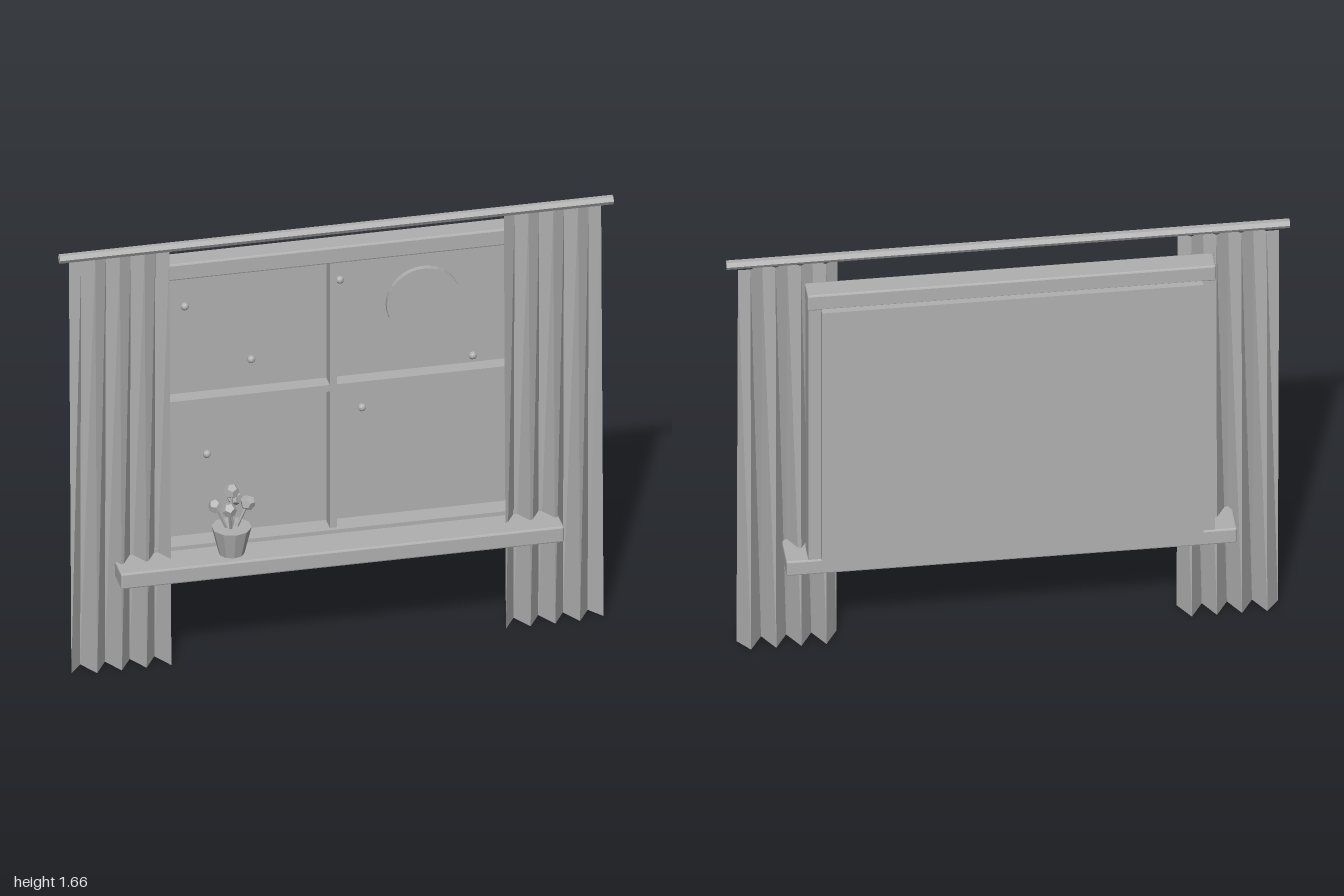
import * as THREE from 'three';
import { RoundedBoxGeometry } from 'three/addons/geometries/RoundedBoxGeometry.js';

export function createModel() {
  const model = new THREE.Group();
  const grey = new THREE.MeshStandardMaterial({ color: 0xb0b0b0, flatShading: true, side: THREE.DoubleSide });
  grey.name = 'grey';

  const add = (name, geometry, parent = model) => {
    const mesh = new THREE.Mesh(geometry, grey);
    mesh.name = name;
    parent.add(mesh);
    return mesh;
  };

  // Box given by its limits, with an optional small bevel
  const box = (name, x0, x1, y0, y1, z0, z1, bevel = 0) => {
    const size = [x1 - x0, y1 - y0, z1 - z0];
    const geometry = bevel ? new RoundedBoxGeometry(...size, 1, bevel) : new THREE.BoxGeometry(...size);
    add(name, geometry).position.set((x0 + x1) / 2, (y0 + y1) / 2, (z0 + z1) / 2);
  };

  // Window frame, bars, sill and night sky panel
  box('frameTop', -0.725, 0.725, 1.5, 1.565, -0.095, -0.01, 0.006);
  box('frameBottom', -0.72, 0.72, 0.375, 0.435, -0.09, -0.012);
  for (const s of [-1, 1]) {
    box('frameSide', s * 0.69 - 0.032, s * 0.69 + 0.032, 0.4, 1.52, -0.09, -0.012);
  }
  box('verticalBar', -0.013, 0.013, 0.43, 1.505, -0.085, -0.028);
  box('horizontalBar', -0.665, 0.665, 0.981, 1.007, -0.085, -0.028);
  box('sill', -0.8, 0.8, 0.358, 0.42, -0.095, 0.119, 0.006);
  box('skyPanel', -0.677, 0.677, 0.43, 1.505, -0.12, -0.09);

  // Moon and stars
  const moon = add('moon', new THREE.CylinderGeometry(0.135, 0.135, 0.022, 32));
  moon.rotation.x = Math.PI / 2;
  moon.position.set(0.337, 1.275, -0.08);
  const stars = [[-0.525, 1.355], [-0.285, 1.115], [-0.445, 0.755], [0.035, 1.395], [0.115, 0.875], [0.515, 1.035]];
  for (const [x, y] of stars) {
    add('star', new THREE.IcosahedronGeometry(0.015, 1)).position.set(x, y, -0.082);
  }

  // Curtain rod
  const rod = add('curtainRod', new THREE.CylinderGeometry(0.017, 0.017, 2, 6));
  rod.rotation.z = Math.PI / 2;
  rod.position.set(0, 1.65, 0.012);

  // Pleated curtains: zigzag folds that deepen toward the floor
  for (const side of [-1, 1]) {
    const geometry = new THREE.PlaneGeometry(0.357, 1.636, 8, 1);
    const p = geometry.attributes.position;
    for (let i = 0; i < p.count; i++) {
      const column = i % 9;
      const bottom = p.getY(i) < 0;
      const outer = column === (side > 0 ? 8 : 0);
      let z = column % 2 === 0 ? (bottom ? 0.054 : 0.022) : (bottom ? -0.022 : -0.005);
      if (outer) z = bottom ? 0.036 : -0.004;
      p.setZ(i, z);
    }
    geometry.computeVertexNormals();
    add(side > 0 ? 'leftCurtain' : 'rightCurtain', geometry).position.set(side * 0.7825, 0.818, 0);
  }

  // Flower pot with a bunch of flowers
  const plant = new THREE.Group();
  plant.name = 'pottedFlowers';
  plant.position.set(-0.385, 0.42, 0.045);
  model.add(plant);
  add('pot', new THREE.CylinderGeometry(0.071, 0.046, 0.104, 10), plant).position.y = 0.052;

  const heads = [[0, 0.245, 0], [-0.058, 0.195, 0.005], [0.058, 0.195, 0.005], [-0.018, 0.195, 0.042], [0.018, 0.2, -0.032]];
  const up = new THREE.Vector3(0, 1, 0);
  for (const [x, y, z] of heads) {
    const tip = new THREE.Vector3(x, y, z);
    const root = new THREE.Vector3(x * 0.3, 0.1, z * 0.3);
    const direction = tip.clone().sub(root);
    const stem = add('stem', new THREE.CylinderGeometry(0.006, 0.006, direction.length(), 5), plant);
    stem.position.copy(root).lerp(tip, 0.5);
    stem.quaternion.setFromUnitVectors(up, direction.normalize());
    const flower = add('flower', new THREE.DodecahedronGeometry(0.028), plant);
    flower.position.copy(tip);
    flower.quaternion.copy(stem.quaternion);
  }

  return model;
}
